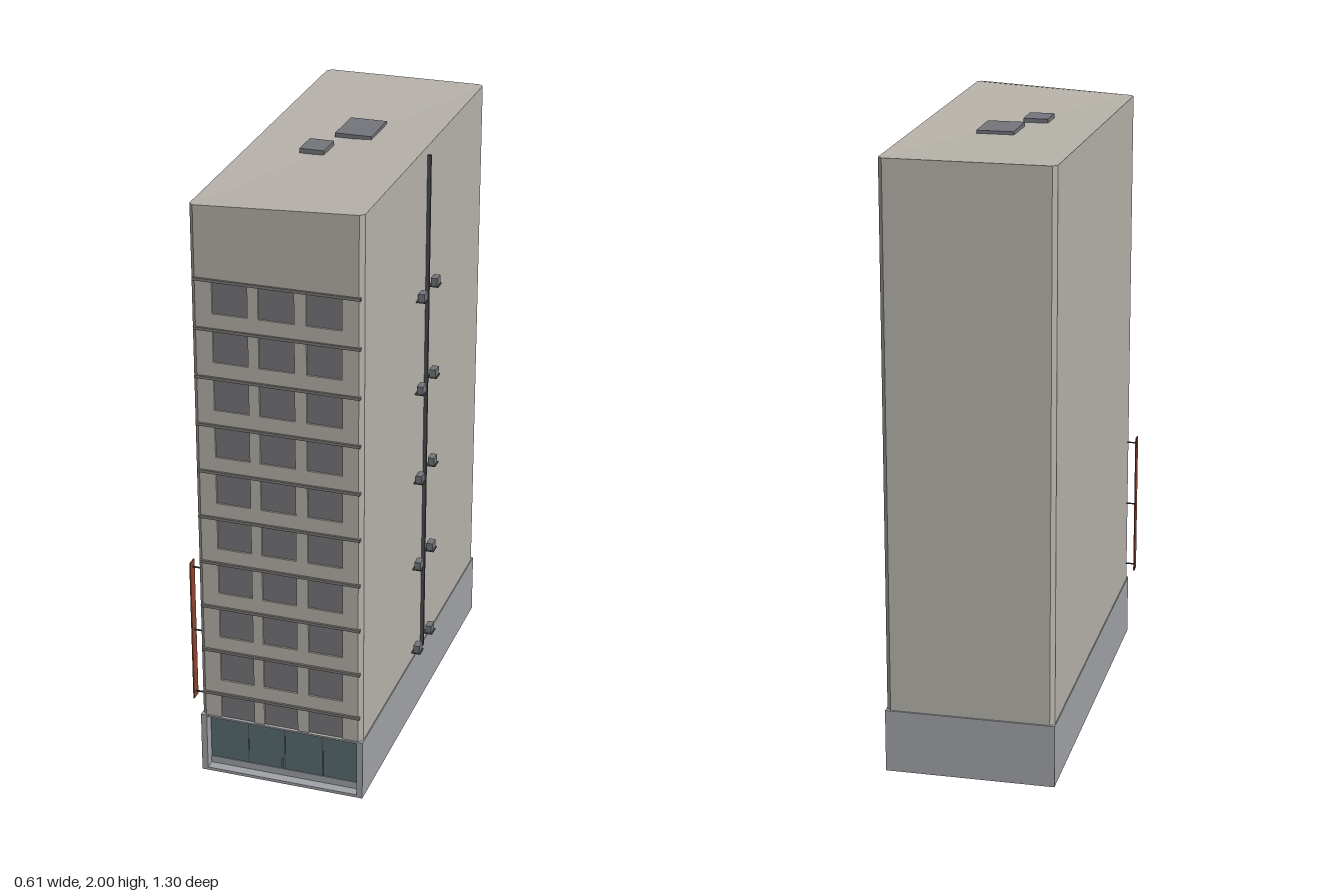
import * as THREE from 'three';

const mat = (color, side = THREE.FrontSide) =>
  new THREE.MeshStandardMaterial({ color, side, flatShading: true });
const WALL = mat(0xb8b4ac), BASE = mat(0xa2a4a9), GLASS = mat(0x78797d), SHOP = mat(0x5a6e72);
const METAL = mat(0x74767c), DARK = mat(0x4c4e52), RUST = mat(0x8f4630), LEDGE = mat(0x7e7d7a);

const W = 0.273, D = 0.645, C = 0.014;      // tower half width, half depth, corner chamfer
const BW = 0.276, BD = 0.65, BH = 0.21;     // base half width, half depth, height
const TOP = 2, LOW = 1.972;                 // roof height and its sunken front corner

// box given by its min and max corners
function box(parent, name, material, x0, x1, y0, y1, z0, z1) {
  const mesh = new THREE.Mesh(new THREE.BoxGeometry(x1 - x0, y1 - y0, z1 - z0), material);
  mesh.position.set((x0 + x1) / 2, (y0 + y1) / 2, (z0 + z1) / 2);
  mesh.name = name;
  parent.add(mesh);
  return mesh;
}

function polygon(points, Type = THREE.Shape) {
  return new Type(points.map(([x, y]) => new THREE.Vector2(x, y)));
}
const rect = (x0, x1, y0, y1, Type) => polygon([[x0, y0], [x1, y0], [x1, y1], [x0, y1]], Type);

// plate with holes, front face at z
function plate(parent, name, material, shape, z, depth) {
  const geo = new THREE.ExtrudeGeometry(shape, { depth, bevelEnabled: false });
  const mesh = new THREE.Mesh(geo, material);
  mesh.position.z = z - depth;
  mesh.name = name;
  parent.add(mesh);
}

// chamfered tower walls and gently twisted roof; the front is left open for the facade
function towerGeometry() {
  const ring = [[-W + C, D], [W - C, D], [W, D - C], [W, -D + C],
    [W - C, -D], [-W + C, -D], [-W, -D + C], [-W, D - C]];
  const top = ring.map(([x, z], i) => [x, i === 0 || i === 7 ? LOW : TOP, z]);
  const bottom = ring.map(([x, z]) => [x, BH - 0.005, z]);
  const v = [];
  for (let i = 1; i < 8; i++) {
    const j = (i + 1) % 8;
    v.push(...bottom[i], ...bottom[j], ...top[j], ...bottom[i], ...top[j], ...top[i]);
    if (i < 7) v.push(...top[0], ...top[i], ...top[i + 1]);
  }
  const geo = new THREE.BufferGeometry();
  geo.setAttribute('position', new THREE.Float32BufferAttribute(v, 3));
  geo.computeVertexNormals();
  return geo;
}

export function createModel() {
  const model = new THREE.Group();
  model.name = 'building';

  // tower
  const tower = new THREE.Mesh(towerGeometry(), WALL);
  tower.name = 'tower';
  model.add(tower);

  // facade with window openings, panes and floor ledges
  const facade = new THREE.Group();
  facade.name = 'facade';
  model.add(facade);
  const wall = polygon([[-W + C, BH - 0.005], [W - C, BH - 0.005], [W - C, TOP], [-W + C, LOW]]);
  const columns = [[-0.205, -0.092], [-0.058, 0.056], [0.094, 0.207]];
  for (let floor = 0; floor < 10; floor++) {
    const y = 0.295 + floor * 0.16;
    const sill = Math.max(y - 0.105, BH);
    for (const [x0, x1] of columns) {
      wall.holes.push(rect(x0, x1, sill, y, THREE.Path));
      box(facade, 'window', GLASS, x0, x1, sill, y, D - 0.014, D - 0.006);
    }
    box(facade, 'ledge', LEDGE, -0.265, 0.265, y - 0.001, y + 0.008, D - 0.005, D + 0.007);
  }
  plate(facade, 'frontWall', WALL, wall, D, 0.012);

  // base with a recessed shop front
  const base = new THREE.Group();
  base.name = 'base';
  model.add(base);
  const recess = BD - 0.04;
  box(base, 'baseBlock', BASE, -BW, BW, 0, BH, -BD, recess);
  const frame = rect(-BW, BW, 0, BH);
  frame.holes.push(rect(-0.256, 0.256, 0.01, 0.204, THREE.Path));
  plate(base, 'shopFrame', BASE, frame, BD, 0.04);
  box(base, 'shopSill', BASE, -0.256, 0.256, 0.01, 0.034, recess, recess + 0.007);
  box(base, 'shopGlass', SHOP, -0.256, 0.256, 0.034, 0.204, recess, recess + 0.004);
  for (const x of [-0.125, 0, 0.13])
    box(base, 'mullion', DARK, x - 0.0015, x + 0.0015, 0.034, 0.204, recess, recess + 0.006);
  box(base, 'doorHandle', METAL, -0.009, -0.005, 0.045, 0.075, recess, recess + 0.012);

  // roof hatches
  box(model, 'largeHatch', METAL, -0.04, 0.08, 1.97, TOP, -0.185, -0.025);
  box(model, 'smallHatch', METAL, -0.1, -0.02, 1.97, TOP - 0.002, 0.043, 0.143);

  // drain pipe and cooling units on the left wall
  box(model, 'drainPipe', DARK, W, 0.284, BH, 1.97, -0.005, 0.005);
  for (let i = 0; i < 5; i++) {
    const y = 0.235 + i * 0.32;
    for (const z of [0.088, -0.052]) {
      const unit = new THREE.Group();
      unit.name = 'coolingUnit';
      box(unit, 'unitCase', METAL, 0.279, 0.3, y + 0.004, y + 0.03, z - 0.018, z + 0.018);
      box(unit, 'unitTray', DARK, W, 0.304, y, y + 0.004, z - 0.02, z + 0.02);
      model.add(unit);
    }
  }

  // upright sign panel held off the right wall by brackets
  const sign = new THREE.Group();
  sign.name = 'sign';
  box(sign, 'signPanel', RUST, -0.307, -0.303, 0.255, 0.755, 0.6, 0.635);
  for (const y of [0.275, 0.505, 0.735])
    box(sign, 'signBracket', DARK, -0.304, -W + 0.004, y - 0.002, y + 0.002, 0.615, 0.619);
  model.add(sign);

  return model;
}
